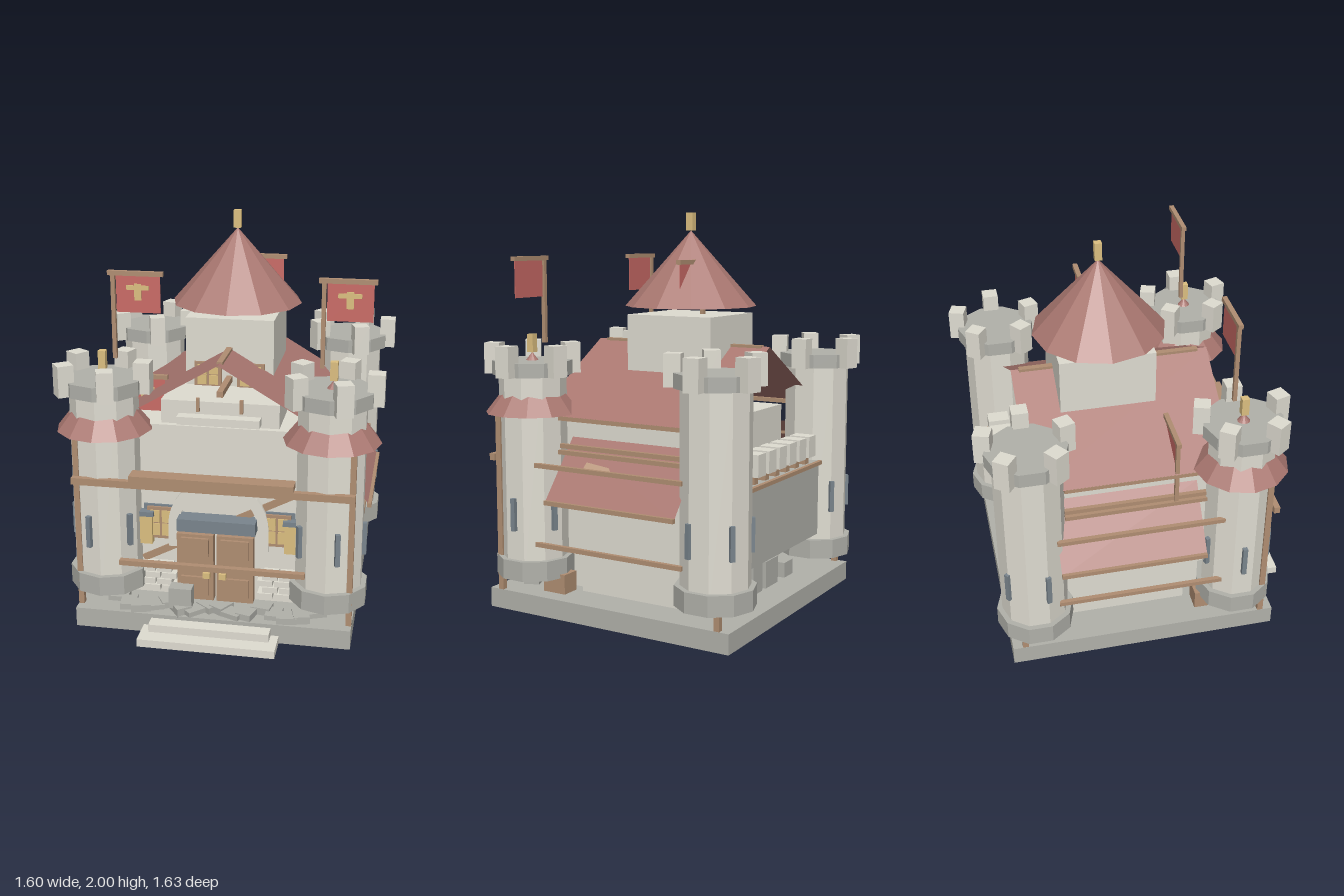
import * as THREE from 'three';

const mat = (name, color, side = THREE.FrontSide) => {
  const m = new THREE.MeshStandardMaterial({ color, side });
  m.name = name;
  m.flatShading = true;
  return m;
};

export function createModel() {
  const light = mat('light stone', 0xdfdcd1);
  const dark = mat('dark stone', 0xb1b1aa);
  const tile = mat('roof tile', 0xa97770, THREE.DoubleSide);
  const cloth = mat('flag cloth', 0xca6b66);
  const wood = mat('wood', 0xb08e72);
  const gold = mat('gold', 0xdcbf80);
  const slate = mat('slate', 0x7a858d);

  const model = new THREE.Group();
  model.name = 'castle';
  const body = new THREE.Group();
  body.name = 'castleBody';
  body.position.x = -0.01;
  model.add(body);

  const add = (name, geo, m, x, y, z, parent = body) => {
    const mesh = new THREE.Mesh(geo, m);
    mesh.name = name;
    mesh.position.set(x, y, z);
    parent.add(mesh);
    return mesh;
  };
  // box given by its extents on each axis
  const box = (name, m, x0, x1, y0, y1, z0, z1, parent = body) =>
    add(name, new THREE.BoxGeometry(x1 - x0, y1 - y0, z1 - z0), m,
      (x0 + x1) / 2, (y0 + y1) / 2, (z0 + z1) / 2, parent);
  const drum = (name, m, r, y0, y1, parent) =>
    add(name, new THREE.CylinderGeometry(r, r, y1 - y0, 10), m, 0, (y0 + y1) / 2, 0, parent);
  // four-cornered open surface
  const quad = (name, m, a, b, c, d) => {
    const g = new THREE.BufferGeometry();
    g.setAttribute('position', new THREE.Float32BufferAttribute([...a, ...b, ...c, ...a, ...c, ...d], 3));
    g.computeVertexNormals();
    return add(name, g, m, 0, 0, 0);
  };

  // base and steps
  box('baseSlab', dark, -0.69, 0.69, 0, 0.1, -0.71, 0.67);
  box('lowerStep', light, -0.34, 0.34, 0, 0.04, 0.6, 0.82);
  box('upperStep', light, -0.3, 0.3, 0.04, 0.08, 0.6, 0.74);

  // main hall and front wall
  box('hall', light, -0.5, 0.5, 0.1, 0.98, -0.39, 0.23);
  box('frontWall', light, -0.44, 0.44, 0.1, 1.02, 0.23, 0.43);
  box('balcony', light, -0.295, 0.295, 1.02, 1.14, 0.13, 0.4);
  box('balconyPanel', light, -0.205, 0.205, 1.035, 1.075, 0.4, 0.46);

  // corner towers; slitTurn is the direction the first slit faces
  const tower = (x, z, front, slitTurn) => {
    const t = new THREE.Group();
    t.name = front ? 'frontTower' : 'backTower';
    t.position.set(x, 0, z);
    body.add(t);
    drum('towerShaft', light, 0.169, 0.19, 1.21, t);
    drum('towerFoot', dark, 0.196, 0.18, 0.28, t);
    drum('towerCrown', dark, 0.2, 1.2, 1.27, t);
    for (let i = 0; i < 5; i++) {
      const turn = (i * 2 * Math.PI) / 5;
      const top = new THREE.Group();
      top.name = 'merlonMount';
      top.rotation.y = turn;
      t.add(top);
      box('merlon', light, 0.16, 0.24, 1.2, 1.355, -0.04, 0.04, top);
      const side = new THREE.Group();
      side.name = 'slitMount';
      side.rotation.y = turn + slitTurn;
      t.add(side);
      box('arrowSlit', slate, 0.15, 0.182, 0.43, 0.595, -0.012, 0.012, side);
    }
    if (!front) return;
    add('skirtRoof', new THREE.ConeGeometry(0.237, 0.3, 12), tile, 0, 1.16, 0, t);
    box('finial', gold, -0.018, 0.018, 1.31, 1.4, -0.018, 0.018, t);
  };
  for (const s of [-1, 1]) {
    tower(s * 0.56, 0.48, true, s > 0 ? 0 : Math.PI);
    tower(s * 0.56, -0.57, false, -Math.PI / 2);
  }

  // keep with cone roof
  box('keep', light, -0.225, 0.225, 0.95, 1.49, -0.35, 0.13);
  add('keepRoof', new THREE.ConeGeometry(0.335, 0.38, 12), tile, 0, 1.72, -0.11);
  box('keepFinial', gold, -0.018, 0.018, 1.91, 2.0, -0.128, -0.092);

  // window with four panes facing the front
  const windowAt = (x, y, z, w, h) => {
    box('windowFrame', wood, x - w / 2, x + w / 2, y - h / 2, y + h / 2, z, z + 0.012);
    for (const i of [-1, 1]) for (const j of [-1, 1])
      add('windowPane', new THREE.BoxGeometry(w * 0.34, h * 0.38, 0.008), gold,
        x + i * w * 0.21, y + j * h * 0.21, z + 0.013);
  };
  for (const s of [-1, 1]) {
    windowAt(s * 0.11, 1.2, 0.13, 0.14, 0.13);
    box('balconyPost', wood, s * 0.108 - 0.008, s * 0.108 + 0.008, 1.09, 1.16, 0.4, 0.415);
  }

  // roof planes, upper and lower on each side
  for (const s of [-1, 1]) {
    quad('upperRoof', tile, [0, 1.34, 0.45], [s * 0.575, 1.0, 0.45], [s * 0.575, 1.0, -0.56], [0, 1.34, -0.56]);
    quad('lowerRoof', tile, [s * 0.5, 0.89, 0.28], [s * 0.74, 0.6, 0.28], [s * 0.74, 0.6, -0.45], [s * 0.5, 0.89, -0.45]);
    const rail = (name, x, y, z0, z1, h = 0.022) =>
      box(name, wood, s * x - 0.011, s * x + 0.011, y - h / 2, y + h / 2, z0, z1);
    rail('upperEave', 0.563, 0.99, -0.4, 0.33);
    rail('wallBeam', 0.555, 0.85, -0.4, 0.32);
    rail('wallBeam', 0.565, 0.82, -0.4, 0.32);
    rail('lowerEave', 0.737, 0.6, -0.45, 0.28);
    rail('sideRail', 0.68, 0.765, -0.46, 0.38);
    rail('sideRail', 0.68, 0.365, -0.46, 0.38);
    // scaffold posts
    box('frontPost', wood, s * 0.675 - 0.014, s * 0.675 + 0.014, 0.07, 1.02, 0.59, 0.62);
    box('backPost', wood, s * 0.675 - 0.014, s * 0.675 + 0.014, 0.07, 0.25, -0.66, -0.63);
  }
  box('ridgeBeam', wood, -0.015, 0.015, 1.315, 1.345, -0.52, 0.4);
  box('lowRidgeBeam', wood, -0.015, 0.015, 1.165, 1.195, 0.12, 0.4);
  const plank = add('loosePlank', new THREE.BoxGeometry(0.04, 0.012, 0.16), wood, 0.617, 0.765, 0.035);
  plank.rotation.set(-0.2, 0.25, -0.6);

  // front rails
  box('frontBeam', wood, -0.69, 0.69, 0.765, 0.8, 0.63, 0.66);
  box('frontLedge', wood, -0.4, 0.4, 0.8, 0.83, 0.58, 0.665);
  box('lowFrontRail', wood, -0.46, 0.46, 0.352, 0.378, 0.63, 0.66);

  // back parapet
  box('backWall', dark, -0.44, 0.44, 0.31, 0.71, -0.65, -0.58);
  box('backBeam', wood, -0.42, 0.42, 0.69, 0.71, -0.67, -0.65);
  for (let i = 0; i < 6; i++) {
    const x = -0.29 + i * 0.116;
    box('backMerlon', light, x - 0.04, x + 0.04, 0.75, 0.86, -0.67, -0.56);
    box('merlonBlock', wood, x - 0.02, x + 0.02, 0.71, 0.75, -0.64, -0.59);
  }
  for (const [x, w, h] of [[-0.28, 0.1, 0.08], [-0.08, 0.14, 0.14], [0.08, 0.1, 0.17], [0.27, 0.08, 0.1]])
    box('backStone', dark, x - w / 2, x + w / 2, 0.1, 0.1 + h, -0.55, -0.45);

  // entrance arch
  const arch = new THREE.Shape();
  arch.moveTo(0.255, 0.38);
  arch.lineTo(0.255, 0.5);
  arch.absarc(0, 0.5, 0.255, 0, Math.PI, false);
  arch.lineTo(-0.255, 0.38);
  arch.lineTo(-0.2, 0.38);
  arch.lineTo(-0.2, 0.5);
  arch.absarc(0, 0.5, 0.2, Math.PI, 0, true);
  arch.lineTo(0.2, 0.38);
  add('entranceArch', new THREE.ExtrudeGeometry(arch, { depth: 0.035, bevelEnabled: false, curveSegments: 9 }),
    light, 0, 0, 0.425);
  const brace = add('diagonalBrace', new THREE.BoxGeometry(0.86, 0.035, 0.012), wood, -0.01, 0.49, 0.435);
  brace.rotation.z = 0.48;

  // door, awning, windows and lanterns
  box('doorAwning', slate, -0.197, 0.197, 0.495, 0.56, 0.43, 0.525);
  for (const s of [-1, 1]) {
    const mid = s * 0.1;
    box('doorLeaf', wood, mid - 0.092, mid + 0.092, 0.14, 0.495, 0.5, 0.55);
    for (const y of [0.22, 0.43])
      box('doorPanel', wood, mid - 0.07, mid + 0.07, y - 0.05, y + 0.05, 0.55, 0.565);
    box('doorHandle', gold, s * 0.04 - 0.018, s * 0.04 + 0.018, 0.27, 0.3, 0.55, 0.575);
    box('windowSurround', slate, s * 0.3 - 0.085, s * 0.3 + 0.085, 0.41, 0.595, 0.43, 0.439);
    windowAt(s * 0.295, 0.5, 0.439, 0.14, 0.17);
    box('lantern', gold, s * 0.37 - 0.034, s * 0.37 + 0.034, 0.39, 0.54, 0.43, 0.475);
    box('lanternCap', slate, s * 0.37 - 0.042, s * 0.37 + 0.042, 0.54, 0.565, 0.43, 0.48);
    // brickwork beside the door
    for (let r = 0; r < 4; r++) for (let c = 0; c < 2; c++) {
      const x = s * (0.245 + c * 0.085 + (r % 2) * 0.025);
      box('brick', light, x - 0.038, x + 0.038, 0.15 + r * 0.035, 0.18 + r * 0.035, 0.43, 0.51);
    }
    box('sideCrate', wood, s * 0.55 - 0.05, s * 0.55 + 0.05, 0.1, 0.2, 0.27, 0.4);
  }

  // flat rubble paving in front of the door
  for (let i = 0; i < 16; i++) {
    const x = -0.5 + i * 0.067, z = 0.53 + 0.09 * Math.abs(Math.sin(i * 2.3));
    const stone = add('pavingStone', new THREE.BoxGeometry(0.1, 0.025 + 0.01 * (i % 3), 0.08), dark, x, 0.115, z);
    stone.rotation.y = i * 1.7;
  }
  box('doorstepBlock', dark, -0.22, -0.105, 0.12, 0.23, 0.56, 0.63);

  // flags hung from a crossbar
  const flag = (x, y, z, drop, emblem) => {
    const f = new THREE.Group();
    f.name = 'flag';
    f.position.set(x, y, z);
    body.add(f);
    box('flagPole', wood, -0.01, 0.01, -drop, 0, -0.01, 0.01, f);
    box('flagBar', wood, -0.025, 0.245, -0.022, 0, -0.012, 0.012, f);
    box('flagCloth', cloth, 0.015, 0.23, -0.2, -0.015, -0.002, 0.002, f);
    if (!emblem) return;
    box('emblemBar', gold, 0.065, 0.175, -0.09, -0.068, 0.002, 0.006, f);
    box('emblemStem', gold, 0.104, 0.138, -0.14, -0.06, 0.002, 0.006, f);
  };
  flag(-0.505, 1.785, 0.445, 0.43, true);
  flag(0.5, 1.785, 0.445, 0.43, true);
  flag(0.0, 1.765, -0.18, 0.3, false);
  flag(-0.56, 1.19, 0.16, 0.45, true);

  return model;
}
